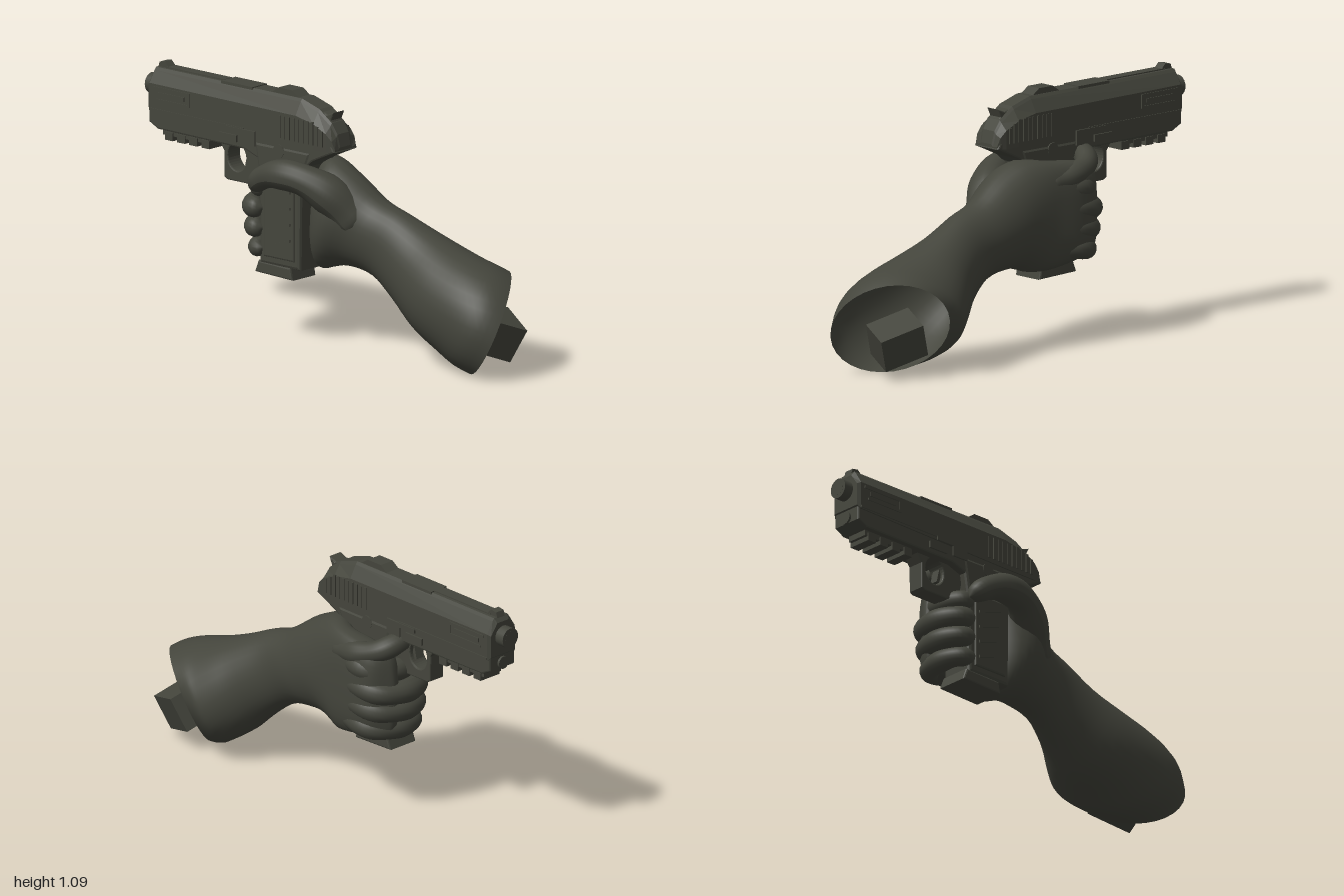
import * as THREE from 'three';

const olive = new THREE.MeshStandardMaterial({ color: 0x44453c, side: THREE.DoubleSide });
olive.name = 'dark olive';
const MID = 0.08; // centre plane of the pistol

export function createModel() {
  const model = new THREE.Group();
  const pistol = new THREE.Group();
  const arm = new THREE.Group();
  pistol.name = 'pistol';
  arm.name = 'handAndForearm';
  model.add(pistol, arm);

  function add(parent, name, geometry) {
    const mesh = new THREE.Mesh(geometry, olive);
    mesh.name = name;
    parent.add(mesh);
    return mesh;
  }
  // Box given by its limits on each axis
  function box(name, x0, x1, y0, y1, z0, z1) {
    const m = add(pistol, name, new THREE.BoxGeometry(x1 - x0, y1 - y0, z1 - z0));
    m.position.set((x0 + x1) / 2, (y0 + y1) / 2, (z0 + z1) / 2);
    return m;
  }
  // Side profile extruded across the pistol, with an optional bevel
  function plate(name, pts, half, bevel = 0, hole) {
    const shape = new THREE.Shape(pts.map(p => new THREE.Vector2(...p)));
    if (hole) shape.holes.push(hole);
    const g = new THREE.ExtrudeGeometry(shape, {
      depth: 2 * (half - bevel), bevelEnabled: bevel > 0, bevelSize: bevel,
      bevelThickness: bevel, bevelOffset: -bevel, bevelSegments: 2, curveSegments: 16,
    });
    g.translate(0, 0, MID - half + bevel);
    return add(pistol, name, g);
  }
  // Skin over rings of points that run along +x
  function loft(rings, flat) {
    const n = rings[0].length, pos = rings.flat(2), idx = [];
    for (let i = 0; i < rings.length - 1; i++) for (let j = 0; j < n; j++) {
      const a = i * n + j, b = i * n + (j + 1) % n;
      idx.push(a, a + n, b, b, a + n, b + n);
    }
    if (flat) for (let j = 1; j < n - 1; j++) {
      const e = (rings.length - 1) * n;
      idx.push(0, j, j + 1, e, e + j + 1, e + j);
    }
    let g = new THREE.BufferGeometry();
    g.setAttribute('position', new THREE.Float32BufferAttribute(pos, 3));
    g.setIndex(idx);
    if (flat) g = g.toNonIndexed();
    g.computeVertexNormals();
    return g;
  }
  // Tapered tube with rounded ends
  function finger(name, pts, r0, r1) {
    const curve = new THREE.CatmullRomCurve3(pts.map(p => new THREE.Vector3(...p)));
    const seg = 36, sides = 16;
    const g = new THREE.TubeGeometry(curve, seg, 1, sides);
    const p = g.attributes.position, v = new THREE.Vector3();
    for (let i = 0; i <= seg; i++) {
      const t = i / seg, c = curve.getPointAt(t);
      const e = Math.max(0, 1 - Math.min(t, 1 - t) / 0.13);
      const joint = 1 + 0.05 * Math.cos(t * Math.PI * 6);
      const r = (r0 + (r1 - r0) * t) * joint * Math.sqrt(Math.max(0.0001, 1 - e * e));
      for (let j = 0; j <= sides; j++) {
        const k = i * (sides + 1) + j;
        v.fromBufferAttribute(p, k).sub(c).multiplyScalar(r).add(c);
        p.setXYZ(k, v.x, v.y, v.z);
      }
    }
    g.computeVertexNormals();
    return add(arm, name, g);
  }

  // Slide: chamfered section along x, falling away at the rear [x, bottom, top, half width]
  const slide = [[-0.955, 0.9, 1.05, 0.07], [-0.94, 0.885, 1.07, 0.08], [-0.1, 0.87, 1.07, 0.08],
    [0, 0.87, 1.04, 0.08], [0.07, 0.87, 0.99, 0.078], [0.1, 0.87, 0.945, 0.072], [0.113, 0.87, 0.89, 0.066]];
  add(pistol, 'slide', loft(slide.map(([x, lo, hi, w]) => {
    const half = [[lo, w], [lo + (hi - lo) * 0.66, w], [hi - 0.012, w * 0.6], [hi, w * 0.48]];
    return [...half.map(([y, z]) => [x, y, MID + z]), ...half.reverse().map(([y, z]) => [x, y, MID - z])];
  }), true));

  // Barrel and recoil rod
  for (const [name, x, y, r, len] of [['barrel', -0.96, 0.985, 0.045, 0.08], ['bore', -0.975, 0.985, 0.03, 0.051],
    ['recoilRod', -0.935, 0.86, 0.028, 0.05]]) {
    const m = add(pistol, name, new THREE.CylinderGeometry(r, r, len, 20));
    m.rotation.z = Math.PI / 2;
    m.position.set(x, y, MID);
  }

  // Sights, port and hammer
  plate('frontSight', [[-0.945, 1.06], [-0.935, 1.09], [-0.905, 1.095], [-0.87, 1.06]], 0.022);
  plate('rearSight', [[-0.29, 1.06], [-0.24, 1.095], [-0.16, 1.095], [-0.11, 1.06]], 0.035);
  box('ejectionPort', -0.56, -0.38, 1.03, 1.074, 0.035, 0.125);
  box('topRib', -0.9, -0.56, 1.06, 1.075, 0.055, 0.105);
  plate('hammer', [[-0.02, 1.04], [0.04, 1.022], [0.078, 1.036], [0.062, 1.0], [0.09, 0.95], [-0.02, 0.95]], 0.035, 0.006);

  // Frame with beavertail
  plate('frame', [[-0.95, 0.9], [-0.95, 0.835], [-0.9, 0.81], [-0.4, 0.805], [-0.33, 0.78], [-0.05, 0.78],
    [-0.01, 0.815], [0.05, 0.843], [0.115, 0.872], [0.1, 0.9]], 0.074, 0.008);
  box('accessoryRail', -0.89, -0.62, 0.785, 0.82, 0.03, 0.13);
  for (let i = 0; i < 4; i++) box('railTooth', -0.875 + i * 0.07, -0.83 + i * 0.07, 0.765, 0.8, 0.025, 0.135);

  // Trigger guard and trigger
  const opening = new THREE.Path();
  opening.absellipse(-0.475, 0.752, 0.052, 0.06, 0, Math.PI * 2);
  plate('triggerGuard', [[-0.585, 0.82], [-0.55, 0.77], [-0.548, 0.655], [-0.53, 0.645], [-0.4, 0.645],
    [-0.33, 0.69], [-0.3, 0.82]], 0.04, 0.006, opening);
  plate('trigger', [[-0.42, 0.82], [-0.435, 0.76], [-0.445, 0.72], [-0.42, 0.71], [-0.39, 0.82]], 0.02);

  // Grip, side panels and magazine foot
  plate('grip', [[-0.34, 0.85], [-0.315, 0.7], [-0.31, 0.325], [-0.08, 0.325], [-0.075, 0.7], [-0.02, 0.85]], 0.078, 0.014);
  plate('gripPanel', [[-0.28, 0.7], [-0.28, 0.36], [-0.105, 0.36], [-0.105, 0.7]], 0.086, 0.008);
  for (let i = 0; i < 4; i++) {
    const y = 0.4 + i * 0.07;
    plate('gripRidge', [[-0.26, y], [-0.125, y + 0.045], [-0.125, y + 0.057], [-0.26, y + 0.012]], 0.09);
  }
  plate('magazineFoot', [[-0.34, 0.282], [-0.125, 0.275], [-0.135, 0.33], [-0.32, 0.335]], 0.076, 0.008);

  // Details repeated on both sides
  for (const s of [1, -1]) {
    const side = (name, x0, x1, y0, y1, out) =>
      box(name, x0, x1, y0, y1, MID + s * 0.076 - 0.004, MID + s * 0.076 + 0.004).translateZ(s * out);
    for (let i = 0; i < 10; i++) side('serration', -0.2 + i * 0.027, -0.187 + i * 0.027, 0.89, 0.99 - Math.max(0, i - 7) * 0.016, 0.004);
    side('windowTop', -0.92, -0.71, 0.985, 0.997, 0.004);
    side('windowBottom', -0.9, -0.71, 0.935, 0.945, 0.004);
    side('windowRear', -0.72, -0.71, 0.935, 0.997, 0.004);
    side('windowBar', -0.89, -0.74, 0.957, 0.975, 0.004);
    side('slideRail', -0.94, -0.4, 0.89, 0.9, 0.004);
    side('slideStop', -0.5, -0.33, 0.875, 0.895, 0.008);
    side('takedownLever', -0.41, -0.33, 0.83, 0.875, 0.008);
    side('frameInset', -0.54, -0.44, 0.83, 0.86, 0.002);
    const pin = add(pistol, 'framePin', new THREE.CylinderGeometry(0.03, 0.03, 0.016, 20));
    pin.rotation.x = Math.PI / 2;
    pin.position.set(-0.2, 0.83, MID + s * 0.072);
  }

  // Hand and forearm rings: x, y, z, height radius, width radius, lean, slant by y, slant by z, roundness
  const keys = [
    [-0.405, 0.56, -0.02, 0.01, 0.005, 0, 0, 0, 0.7],
    [-0.39, 0.56, -0.025, 0.17, 0.03, 0, 0, 0, 0.7],
    [-0.34, 0.57, -0.045, 0.195, 0.073, 0, 0, 0, 0.65],
    [-0.25, 0.57, -0.055, 0.215, 0.085, 0, 0, 0, 0.65],
    [-0.12, 0.565, -0.045, 0.235, 0.083, 0, 0, 0, 0.75],
    [-0.03, 0.565, 0.01, 0.245, 0.135, 0, 0.1, 0, 0.9],
    [0.06, 0.55, 0.025, 0.212, 0.15, 0, 0.25, 0, 1],
    [0.17, 0.51, 0.005, 0.158, 0.125, 0, 0.5, 0, 1],
    [0.3, 0.475, -0.005, 0.148, 0.115, 0, 0.5, 0, 1],
    [0.43, 0.4, -0.02, 0.162, 0.145, -0.01, 0.5, 0.1, 1],
    [0.55, 0.325, -0.028, 0.187, 0.188, -0.02, 0.5, 0.3, 1],
    [0.66, 0.272, -0.038, 0.202, 0.21, -0.03, 0.52, 0.55, 1],
    [0.74, 0.236, -0.048, 0.21, 0.205, -0.06, 0.58, 0.83, 1],
    [0.81, 0.208, -0.068, 0.207, 0.17, -0.09, 0.65, 1.09, 1],
  ];
  const rings = [], STEPS = 4, SIDES = 32;
  const bulge = (v, power) => Math.sign(v) * Math.abs(v) ** power;
  for (let i = 0; i < (keys.length - 1) * STEPS + 1; i++) {
    const k = Math.min(Math.floor(i / STEPS), keys.length - 2), t = i / STEPS - k;
    const at = n => keys[Math.max(0, Math.min(keys.length - 1, n))];
    const [x, y, z, ry, rz, lean, ky, kz, power] = at(k).map((b, n) => {
      const a = at(k - 1)[n], c = at(k + 1)[n], d = at(k + 2)[n];
      return b + 0.5 * t * (c - a + t * (2 * a - 5 * b + 4 * c - d + t * (3 * (b - c) + d - a)));
    });
    rings.push(Array.from({ length: SIDES }, (_, j) => {
      const q = j / SIDES * Math.PI * 2, sin = bulge(Math.sin(q), power), cos = bulge(Math.cos(q), power);
      const dy = ry * sin, dz = rz * cos + lean * sin;
      return [x + ky * dy + kz * dz, y + dy, z + dz];
    }));
  }
  add(arm, 'palmAndForearm', loft(rings, false));

  // Three lower fingers and the middle one wrap around the grip
  [[0.655, 0.04, 0.05], [0.565, 0, 0.052], [0.478, 0.01, 0.05], [0.39, 0.03, 0.047]].forEach(([y, dx, r]) =>
    finger('wrappedFinger', [[-0.14, y + 0.02, -0.06], [-0.26, y + 0.02, -0.095], [-0.36 + dx, y + 0.005, -0.065],
      [-0.395 + dx, y, 0.02], [-0.385 + dx, y, 0.11], [-0.345 + dx, y, 0.155], [-0.29, y + 0.005, 0.155]], r, r * 0.93));
  finger('indexFinger', [[-0.08, 0.7, -0.06], [-0.24, 0.73, -0.085], [-0.34, 0.76, -0.055], [-0.38, 0.79, 0.01],
    [-0.375, 0.8, 0.08], [-0.36, 0.8, 0.12]], 0.055, 0.043);
  finger('thumb', [[0.17, 0.53, 0.03], [0.07, 0.67, 0.12], [-0.04, 0.738, 0.185], [-0.16, 0.745, 0.205],
    [-0.25, 0.715, 0.2], [-0.33, 0.655, 0.18]], 0.098, 0.045);

  // Block set inside the hollow forearm end
  const block = add(arm, 'forearmBlock', new THREE.BoxGeometry(0.15, 0.16, 0.2));
  block.position.set(0.805, 0.165, -0.105);
  block.lookAt(0.805 + 0.88, 0.165 - 0.3, -0.105 + 0.36);
  block.rotateZ(-0.38);

  return model;
}
